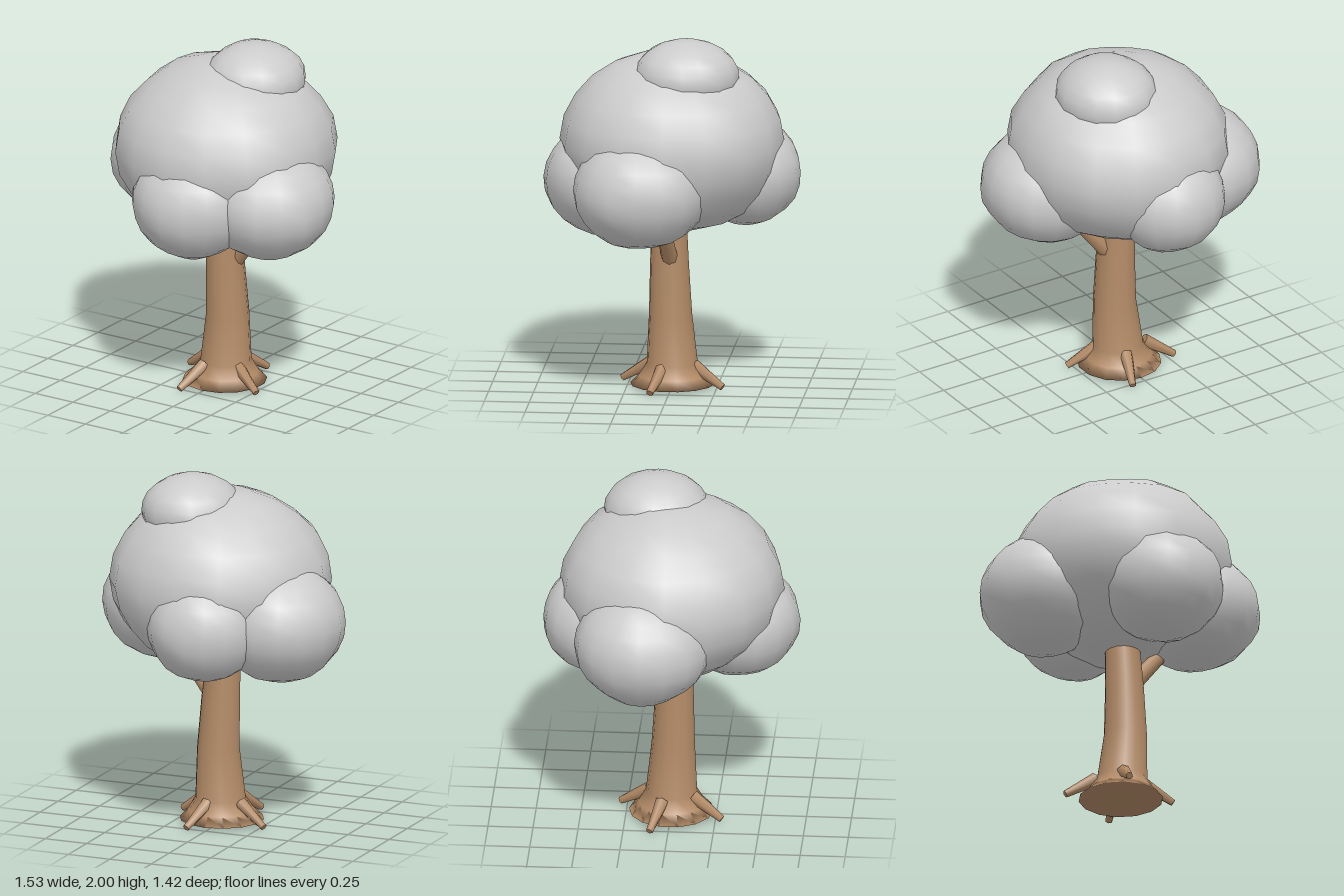
import * as THREE from 'three';
import { mergeVertices } from 'three/addons/utils/BufferGeometryUtils.js';

const leafMat = new THREE.MeshStandardMaterial({ color: 0xcccccc });
const barkMat = new THREE.MeshStandardMaterial({ color: 0xb38b67 });

// Slightly lumpy ellipsoid with smooth normals
function foliage(name, center, radii, seed) {
  let geo = new THREE.SphereGeometry(1, 16, 12);
  geo.deleteAttribute('uv');
  geo.deleteAttribute('normal');
  geo = mergeVertices(geo, 1e-4);
  const p = geo.attributes.position;
  const v = new THREE.Vector3();
  for (let i = 0; i < p.count; i++) {
    v.fromBufferAttribute(p, i);
    const bump = Math.sin(5 * v.x + seed) * Math.sin(4 * v.y + 2 * seed) * Math.sin(5 * v.z + 3 * seed);
    v.multiplyScalar(1.005 + 0.025 * bump);
    p.setXYZ(i, v.x * radii[0], v.y * radii[1], v.z * radii[2]);
  }
  geo.computeVertexNormals();
  const mesh = new THREE.Mesh(geo, leafMat);
  mesh.name = name;
  mesh.position.set(...center);
  return mesh;
}

// Tapered round limb between two points
function limb(name, from, to, r0, r1, sides) {
  const a = new THREE.Vector3(...from), b = new THREE.Vector3(...to);
  const dir = b.clone().sub(a);
  const mesh = new THREE.Mesh(new THREE.CylinderGeometry(r1, r0, dir.length(), sides), barkMat);
  mesh.name = name;
  mesh.position.copy(a).add(b).multiplyScalar(0.5);
  mesh.quaternion.setFromUnitVectors(new THREE.Vector3(0, 1, 0), dir.normalize());
  return mesh;
}

// Flared trunk, its rings shifted sideways for a gentle bend
function trunk() {
  const rings = [ // y, radius, x shift, z shift
    [0.02, 0, 0.01, 0], [0.02, 0.235, 0.01, 0], [0.07, 0.185, 0.015, 0], [0.14, 0.142, 0.018, 0],
    [0.42, 0.12, 0.035, 0.008], [0.7, 0.108, 0.025, 0.015], [0.9, 0.1, 0.012, 0.018], [1.02, 0.097, 0.01, 0.018],
  ];
  const geo = new THREE.LatheGeometry(rings.map(([y, r]) => new THREE.Vector2(r, y)), 14);
  const p = geo.attributes.position;
  for (let i = 0; i < p.count; i++) {
    const [, , dx, dz] = rings[i % rings.length];
    p.setX(i, p.getX(i) + dx);
    p.setZ(i, p.getZ(i) + dz);
  }
  const mesh = new THREE.Mesh(geo, barkMat);
  mesh.name = 'trunk';
  return mesh;
}

export function createModel() {
  const tree = new THREE.Group();
  tree.name = 'tree';
  tree.add(trunk());

  // Four roots spread around the base
  for (let i = 0; i < 4; i++) {
    const a = 0.34 + i * Math.PI / 2;
    const c = Math.cos(a), s = Math.sin(a);
    tree.add(limb('root' + (i + 1), [0.13 * c, 0.13, 0.13 * s], [0.305 * c, 0.022, 0.305 * s], 0.038, 0.02, 6));
  }

  tree.add(limb('branch', [0.07, 0.72, 0.005], [0.28, 0.98, 0.03], 0.048, 0.038, 8));

  // Crown: one large mass, four lower lobes and a cap
  const crown = new THREE.Group();
  crown.name = 'crown';
  crown.add(
    foliage('mainFoliage', [0.015, 1.4, 0], [0.615, 0.505, 0.62], 0.6),
    foliage('frontFoliage', [0.05, 1.19, 0.37], [0.35, 0.315, 0.34], 1.3),
    foliage('backFoliage', [-0.06, 1.22, -0.4], [0.32, 0.3, 0.31], 2.1),
    foliage('leftFoliage', [0.4, 1.19, 0.14], [0.36, 0.315, 0.375], 2.9),
    foliage('rightFoliage', [-0.4, 1.22, -0.13], [0.36, 0.33, 0.38], 3.7),
    foliage('topFoliage', [0.15, 1.79, -0.09], [0.28, 0.21, 0.295], 4.4),
  );
  tree.add(crown);
  return tree;
}
